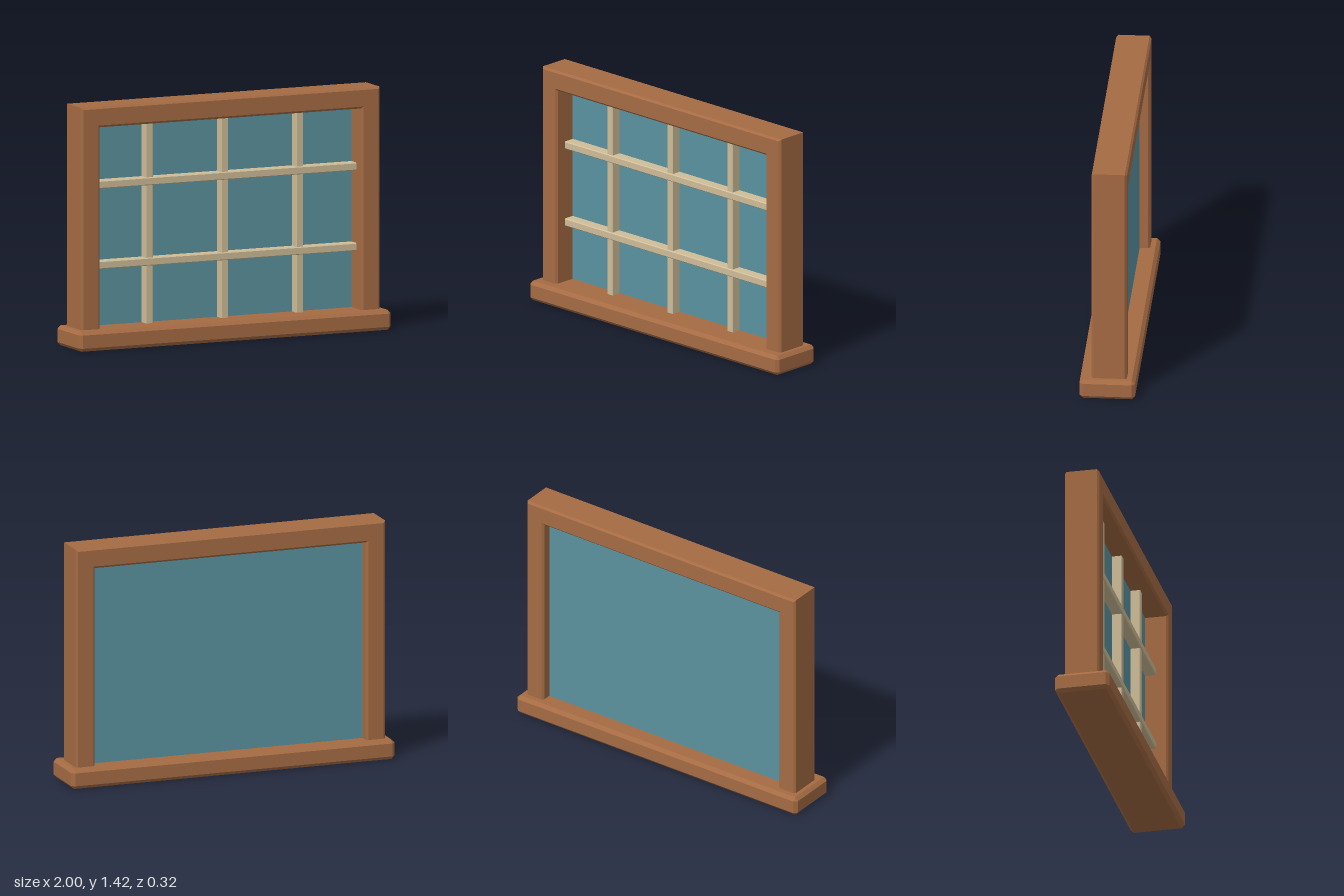
import * as THREE from 'three';
import { ConvexGeometry } from 'three/addons/geometries/ConvexGeometry.js';

// Box between two corners with every edge chamfered by c
function chamferBox([x0, y0, z0], [x1, y1, z1], c) {
  const half = [(x1 - x0) / 2, (y1 - y0) / 2, (z1 - z0) / 2];
  const points = [];
  for (const sx of [-1, 1]) for (const sy of [-1, 1]) for (const sz of [-1, 1]) {
    for (let full = 0; full < 3; full++) {
      const [x, y, z] = half.map((h, i) => (i === full ? h : h - c));
      points.push(new THREE.Vector3(sx * x, sy * y, sz * z));
    }
  }
  const geometry = new ConvexGeometry(points);
  geometry.translate((x0 + x1) / 2, (y0 + y1) / 2, (z0 + z1) / 2);
  return geometry;
}

export function createModel() {
  const group = new THREE.Group();
  group.name = 'window';

  const material = (name, color) => {
    const m = new THREE.MeshStandardMaterial({ color });
    m.name = name;
    return m;
  };
  const wood = material('brown wood', 0xa56b43);
  const paleWood = material('pale wood', 0xcfbd98);
  const glassBlue = material('blue glass', 0x5a929f);

  const add = (name, geometry, mat) => {
    const mesh = new THREE.Mesh(geometry, mat);
    mesh.name = name;
    group.add(mesh);
  };

  // Sill
  add('sill', chamferBox([-1, 0, -0.163], [1, 0.117, 0.16], 0.02), wood);

  // Frame: two posts and a top rail in one chamfered piece, standing in the sill
  const b = 0.012;
  const outer = 0.957 - b, inner = 0.838 + b, top = 1.416 - b, head = 1.295 + b, foot = 0.06;
  const outline = new THREE.Shape([
    [-outer, foot], [-inner, foot], [-inner, head], [inner, head],
    [inner, foot], [outer, foot], [outer, top], [-outer, top],
  ].map(([x, y]) => new THREE.Vector2(x, y)));
  const zBack = -0.113, zFront = 0.092;
  const frame = new THREE.ExtrudeGeometry(outline, {
    depth: zFront - zBack - 2 * b, bevelEnabled: true,
    bevelThickness: b, bevelSize: b, bevelSegments: 1,
  });
  frame.translate(0, 0, zBack + b);
  add('frame', frame, wood);

  // Glass pane
  const pane = new THREE.BoxGeometry(1.69, 1.23, 0.008);
  pane.translate(0, 0.7, -0.048);
  add('glass', pane, glassBlue);

  // Glazing bars in front of the glass
  for (const x of [-0.484, -0.002, 0.479]) {
    add('verticalBar', chamferBox([x - 0.023, 0.1, -0.05], [x + 0.023, 1.31, 0.014], 0.004), paleWood);
  }
  for (const y of [0.478, 0.948]) {
    add('horizontalBar', chamferBox([-0.842, y - 0.023, -0.05], [0.842, y + 0.023, 0.021], 0.005), paleWood);
  }

  return group;
}
